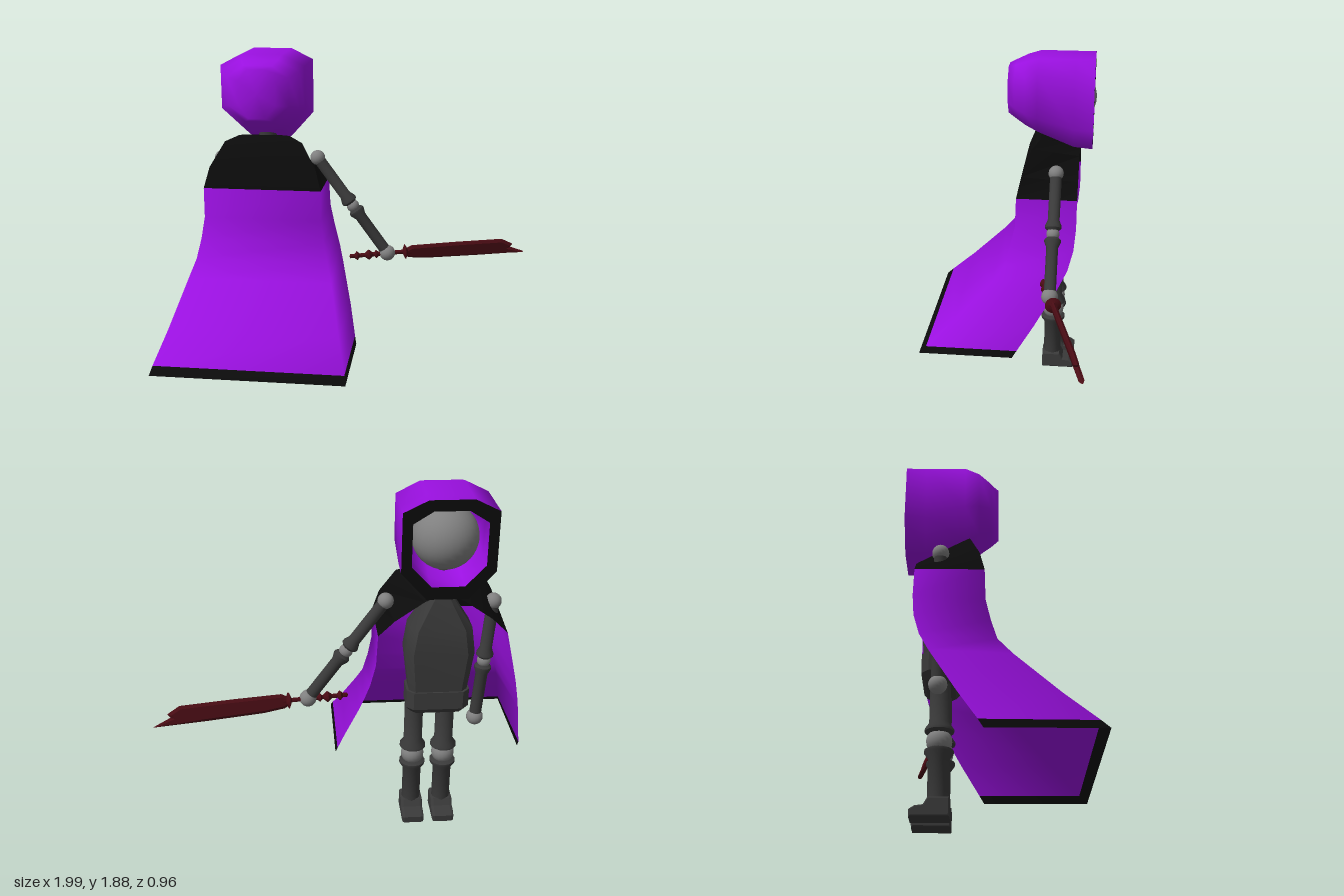
import * as THREE from 'three';
import { toCreasedNormals } from 'three/addons/utils/BufferGeometryUtils.js';

const mat = (color) => new THREE.MeshStandardMaterial({ color, side: THREE.DoubleSide });
const purple = mat(0x9a10e0), black = mat(0x0b0b0b), dark = mat(0x3a3a3a), pale = mat(0x808080), red = mat(0x4a0c14);
const CX = -0.475, BZ = -0.27; // body axis
const V = (x, y, z) => new THREE.Vector3(x, y, z);

function add(parent, name, geometry, material, x = 0, y = 0, z = 0) {
  const m = new THREE.Mesh(geometry, material);
  m.name = name;
  m.position.set(x, y, z);
  parent.add(m);
  return m;
}

// Skin over rows of [x, y, z] points
function loft(rows, closed) {
  const n = rows[0].length, index = [];
  for (let r = 0; r < rows.length - 1; r++) {
    for (let i = 0; i < (closed ? n : n - 1); i++) {
      const a = r * n + i, b = r * n + (i + 1) % n;
      index.push(a, a + n, b, b, a + n, b + n);
    }
  }
  const g = new THREE.BufferGeometry();
  g.setAttribute('position', new THREE.Float32BufferAttribute(rows.flat(2), 3));
  g.setIndex(index);
  g.computeVertexNormals();
  return g;
}

// Lathe whose axis runs from point a to point b; profile is [radius, distance]
function latheBetween(parent, name, a, b, profile, material, sides = 16) {
  const g = new THREE.LatheGeometry(profile.map(([r, d]) => new THREE.Vector2(r, d)), sides);
  const m = add(parent, name, toCreasedNormals(g, 0.7), material, a.x, a.y, a.z);
  m.quaternion.setFromUnitVectors(V(0, 1, 0), b.clone().sub(a).normalize());
}

// Limb with a pale joint between two flared collars
function limb(parent, name, a, b, r, jointR, jointHalf) {
  const L = a.distanceTo(b), mid = a.clone().lerp(b, 0.5), flare = r * 1.4;
  const half = L / 2 - jointHalf;
  const profile = [[0, 0], [r, 0], [r, half - 0.055], [flare, half - 0.025], [flare, half - 0.012], [r, half], [0, half]];
  latheBetween(parent, name + 'Upper', a, b, profile, dark);
  latheBetween(parent, name + 'Lower', b, a, profile, dark);
  add(parent, name + 'Joint', new THREE.SphereGeometry(jointR, 18, 12), pale, mid.x, mid.y, mid.z);
}

function hood(g) {
  // z, half width, top, bottom
  const sections = [[-0.465, 0.23, 1.88, 1.38], [-0.36, 0.23, 1.88, 1.39], [-0.16, 0.23, 1.88, 1.47],
    [-0.09, 0.212, 1.86, 1.505], [-0.03, 0.165, 1.835, 1.54], [0.01, 0.1, 1.82, 1.56]];
  const ring = ([z, w, top, bot], k = 0) => {
    const a = w - k, t = top - k * 1.1, b = bot + k * 1.3, low = b + (t - b) * 0.28;
    return [[-a * 0.47, t], [a * 0.47, t], [a, t - 0.06], [a, low], [a * 0.45, b], [-a * 0.45, b], [-a, low], [-a, t - 0.06]]
      .map(([x, y]) => [CX + x, y, z]);
  };
  const point = (z) => Array.from({ length: 8 }, () => [CX, 1.69, z]);
  add(g, 'hoodOuter', loft([...sections.map((s) => ring(s)), point(0.011)], true), purple);
  const inner = sections.slice(0, 4);
  add(g, 'hoodLining', loft([...inner.map((s) => ring(s, 0.05)), point(-0.07)], true), purple);
  add(g, 'hoodRim', loft([ring(sections[0]), ring(sections[0], 0.05)], true), black);
  add(g, 'head', new THREE.SphereGeometry(0.165, 28, 20), pale, CX, 1.65, -0.312);
}

function cape(g) {
  // y, back half width, back z, front half width on +x, on -x, front z
  const u = ([y, wb, zb, wr, wl, zf, yf = y]) =>
    [[CX - wl, yf, zf], [CX - wb, y, zb], [CX + wb, y, zb], [CX + wr, yf, zf]];
  const hem = [[0.3, 0.515, 0.435, 0.515, 0.525, -0.085], [0.26, 0.525, 0.475, 0.525, 0.525, -0.06]];
  const cloth = [
    [1.155, 0.327, -0.06, 0.327, 0.327, -0.395], [0.99, 0.327, -0.055, 0.335, 0.365, -0.395],
    [0.87, 0.345, -0.03, 0.362, 0.393, -0.385], [0.76, 0.37, 0, 0.395, 0.417, -0.355],
    [0.67, 0.4, 0.07, 0.42, 0.438, -0.31], [0.45, 0.465, 0.28, 0.48, 0.488, -0.18], hem[0]];
  // the yoke's front edges fall from the throat to the shoulders
  const yoke = [
    [1.4, 0, -0.38, 0, 0, -0.395, 1.38], [1.435, 0.14, -0.175, 0.01, 0.01, -0.395, 1.38],
    [1.405, 0.215, -0.135, 0.1, 0.1, -0.395, 1.335], [1.27, 0.295, -0.085, 0.245, 0.245, -0.395, 1.235], cloth[0]];
  add(g, 'capeCloth', loft(cloth.map(u), false), purple);
  add(g, 'capeHem', loft(hem.map(u), false), black);
  add(g, 'capeYoke', toCreasedNormals(loft(yoke.map(u), false), 0.6), black);
}

function torso(g) {
  // chamfered boxes: y, half width, half depth
  const ring = ([y, w, d]) => {
    const c = Math.min(w, d) * 0.4;
    return [[w - c, d], [w, d - c], [w, c - d], [w - c, -d], [c - w, -d], [-w, c - d], [-w, d - c], [c - w, d]]
      .map(([x, z]) => [CX + x, y, BZ + z]);
  };
  const solid = (rows) => toCreasedNormals(loft(
    [[rows[0][0], 0, 0], ...rows, [rows.at(-1)[0], 0, 0]].map(ring), true), 0.5);
  add(g, 'chest', solid([[0.78, 0.15, 0.08], [1.02, 0.18, 0.1], [1.16, 0.16, 0.1], [1.35, 0.04, 0.06]]), dark);
  add(g, 'hips', solid([[0.67, 0.14, 0.07], [0.7, 0.165, 0.09], [0.8, 0.165, 0.09]]), dark);
  add(g, 'neck', new THREE.CylinderGeometry(0.05, 0.05, 0.2, 14), dark, CX, 1.42, BZ);
}

function leg(g, name, x) {
  limb(g, name, V(x, 0.72, BZ), V(x, 0.04, BZ), 0.05, 0.062, 0.035);
  // boot side outline, z then y
  const s = new THREE.Shape([[0.05, 0], [-0.12, 0], [-0.122, 0.025], [-0.1, 0.04], [-0.06, 0.045], [-0.04, 0.08], [0.05, 0.08]]
    .map(([z, y]) => new THREE.Vector2(-z, y)));
  const boot = new THREE.ExtrudeGeometry(s, { depth: 0.09, bevelThickness: 0.014, bevelSize: 0.008, bevelSegments: 2 });
  boot.translate(0, 0.008, -0.045);
  boot.rotateY(Math.PI / 2);
  add(g, name + 'Boot', boot, dark, x, 0, BZ);
}

function arm(g, name, shoulder, hand) {
  limb(g, name, shoulder, hand, 0.032, 0.036, 0.02);
  add(g, name + 'Shoulder', new THREE.SphereGeometry(0.042, 18, 12), pale, ...shoulder.toArray());
  add(g, name + 'Hand', new THREE.SphereGeometry(0.045, 18, 12), pale, ...hand.toArray());
}

function sword(g, hand) {
  const s = new THREE.Group();
  s.name = 'sword';
  s.position.copy(hand);
  s.rotation.set(0.25, 0.24, 0, 'YXZ');
  g.add(s);
  // pommel, ridged grip and guard
  latheBetween(s, 'hilt', V(-0.22, -0.015, 0), V(0.12, 0.004, 0), [[0, 0], [0.012, 0.006], [0.012, 0.03], [0.026, 0.045],
    [0.012, 0.06], [0.012, 0.09], [0.02, 0.1], [0.03, 0.115], [0.012, 0.135], [0.012, 0.145], [0.024, 0.155], [0.012, 0.17],
    [0.012, 0.31], [0.03, 0.318], [0.044, 0.325], [0.03, 0.332], [0.016, 0.34], [0.016, 0.36], [0, 0.36]], red, 12);
  // blade with a notched tip
  const outline = [[0.1, -0.02], [0.13, -0.035], [0.24, -0.043], [0.55, -0.037], [0.81, -0.028], [0.72, 0.008],
    [0.735, 0.028], [0.67, 0.062], [0.4, 0.054], [0.14, 0.042], [0.1, 0.018]];
  const shape = new THREE.Shape(outline.map(([x, y]) => new THREE.Vector2(x, y)));
  const blade = new THREE.ExtrudeGeometry(shape, { depth: 0.008, bevelThickness: 0.01, bevelSize: 0.014, bevelOffset: -0.014, bevelSegments: 1 });
  add(s, 'blade', blade, red, 0, 0, -0.004);
}

export function createModel() {
  const g = new THREE.Group();
  g.name = 'cloakedSwordsman';
  hood(g);
  cape(g);
  torso(g);
  leg(g, 'leftLeg', CX + 0.115 - 0.0);
  leg(g, 'rightLeg', CX - 0.052);
  const hand = V(0.205, 0.745, -0.275);
  arm(g, 'leftArm', V(-0.195, 1.295, -0.275), hand);
  arm(g, 'rightArm', V(-0.745, 1.28, -0.275), V(-0.69, 0.6, -0.275));
  sword(g, hand);
  return g;
}
